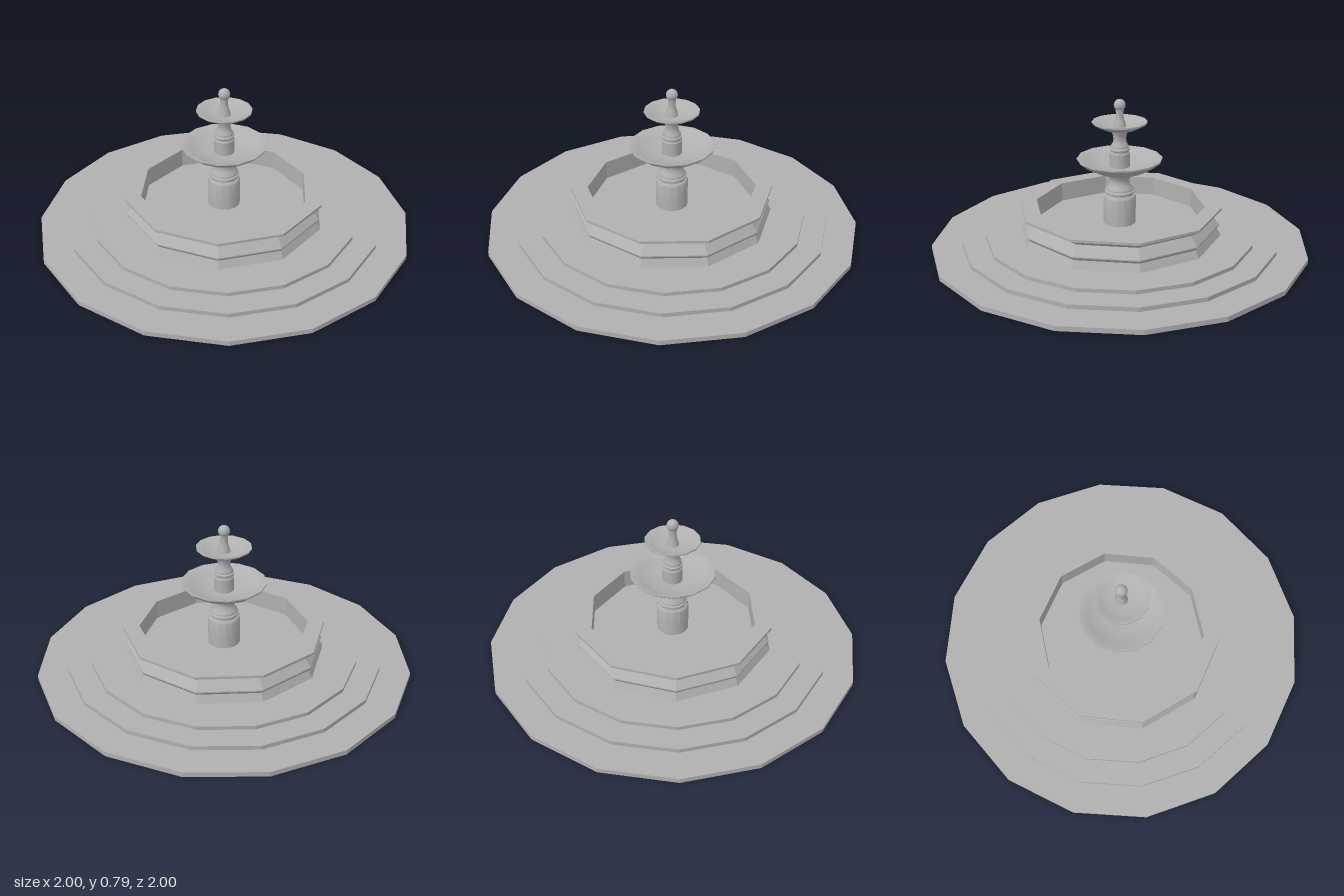
import * as THREE from 'three';
import { toCreasedNormals } from 'three/addons/utils/BufferGeometryUtils.js';

const stone = new THREE.MeshStandardMaterial({ color: 0xb0b0b0 });
stone.name = 'greyStone';

// Turned part: profile of [radius, height], running up the outside; a corner always lies on +x
function turned(name, sides, profile, creaseDegrees) {
  const points = profile.map(([r, y]) => new THREE.Vector2(r, y));
  const step = (Math.PI * 2) / sides;
  const start = (Math.PI / 2) % step;
  const lathe = new THREE.LatheGeometry(points, sides, start, Math.PI * 2);
  const mesh = new THREE.Mesh(toCreasedNormals(lathe, THREE.MathUtils.degToRad(creaseDegrees)), stone);
  mesh.name = name;
  return mesh;
}

export function createModel() {
  const fountain = new THREE.Group();
  fountain.name = 'fountain';

  // Three stacked sixteen-sided steps
  const steps = [
    ['lowerStep', 1.0, 0, 0.025],
    ['middleStep', 0.84, 0.025, 0.047],
    ['upperStep', 0.715, 0.047, 0.067],
  ];
  for (const [name, r, y0, y1] of steps) {
    fountain.add(turned(name, 16, [[0, y0], [r, y0], [r, y1], [0, y1]], 5));
  }

  // Ten-sided basin with moulded wall, rim and sunken floor
  fountain.add(turned('basin', 10, [
    [0.54, 0.067], [0.52, 0.108], [0.53, 0.122], [0.53, 0.128], [0.488, 0.177],
    [0.54, 0.208], [0.54, 0.222], [0.452, 0.222], [0.452, 0.118], [0, 0.118],
  ], 5));

  // Lower pedestal: drum, rings and flared neck
  fountain.add(turned('lowerPedestal', 14, [
    [0.086, 0.118], [0.086, 0.265], [0.08, 0.274], [0.073, 0.276], [0.073, 0.286],
    [0.08, 0.29], [0.08, 0.298], [0.073, 0.303], [0.073, 0.312], [0.058, 0.33],
    [0.052, 0.35], [0.056, 0.372], [0.072, 0.395], [0, 0.395],
  ], 40));

  // Large bowl
  fountain.add(turned('largeBowl', 14, [
    [0, 0.39], [0.07, 0.393], [0.13, 0.41], [0.185, 0.438], [0.225, 0.47], [0.225, 0.477],
    [0.215, 0.477], [0.175, 0.454], [0.12, 0.438], [0.06, 0.431], [0, 0.43],
  ], 40));

  // Upper pedestal, a smaller repeat of the lower one
  fountain.add(turned('upperPedestal', 14, [
    [0.053, 0.43], [0.053, 0.505], [0.048, 0.51], [0.048, 0.518], [0.053, 0.522],
    [0.053, 0.53], [0.047, 0.535], [0.047, 0.545], [0.037, 0.56], [0.033, 0.58],
    [0.037, 0.605], [0.048, 0.627], [0, 0.627],
  ], 40));

  // Small bowl
  fountain.add(turned('smallBowl', 14, [
    [0, 0.622], [0.05, 0.625], [0.09, 0.637], [0.125, 0.655], [0.145, 0.668], [0.145, 0.675],
    [0.137, 0.675], [0.108, 0.659], [0.07, 0.649], [0, 0.645],
  ], 40));

  // Finial stem and ball
  fountain.add(turned('finialStem', 12, [
    [0.034, 0.645], [0.03, 0.665], [0.023, 0.685], [0.019, 0.71], [0.022, 0.74], [0, 0.745],
  ], 40));
  const ball = new THREE.Mesh(new THREE.SphereGeometry(0.031, 14, 10), stone);
  ball.name = 'finialBall';
  ball.position.y = 0.761;
  fountain.add(ball);

  return fountain;
}
